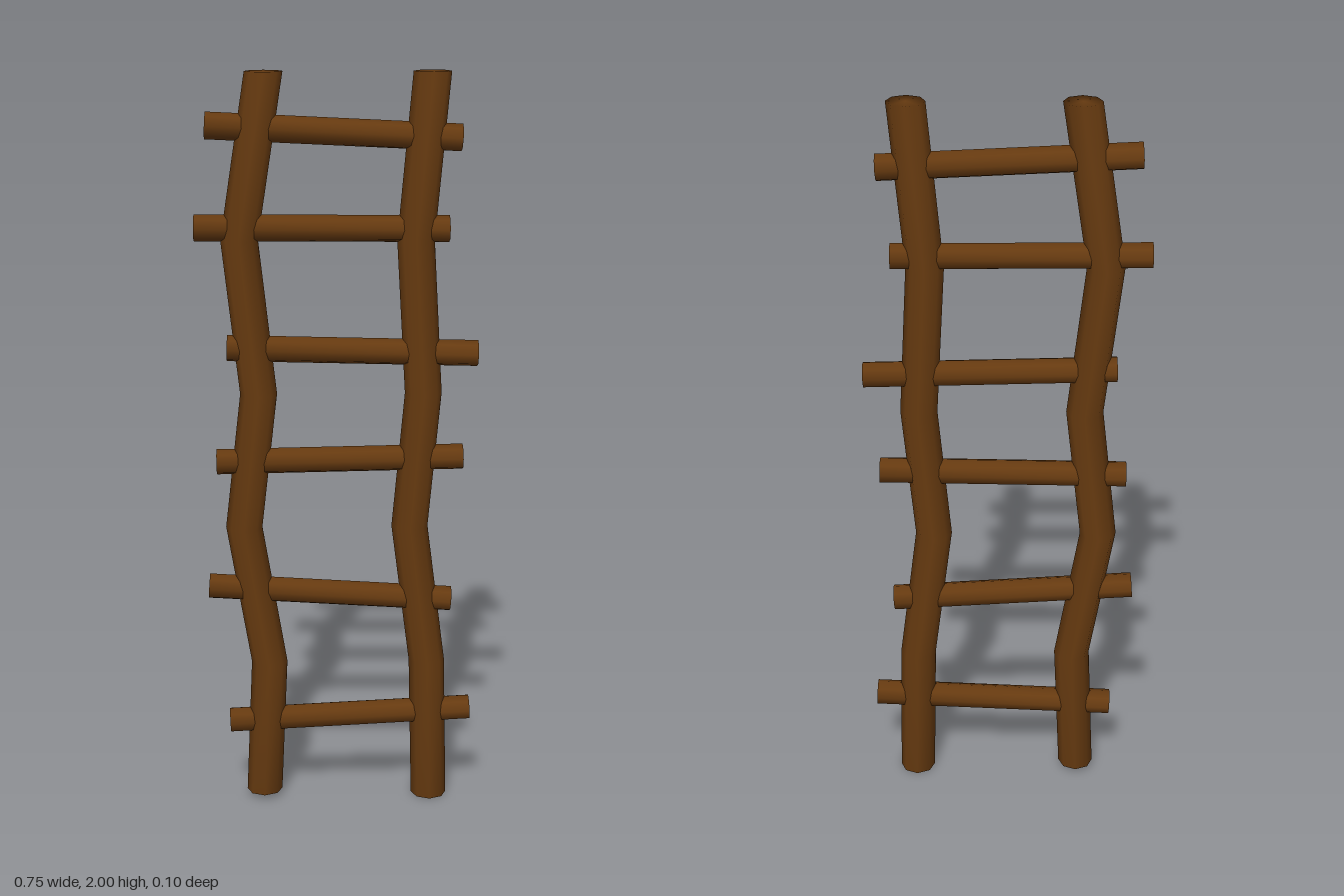
import * as THREE from 'three';
import { mergeVertices } from 'three/addons/utils/BufferGeometryUtils.js';

const SIDES = 8;

// Weld caps to the sides so the shading rolls softly over the ends
function soften(geometry) {
  geometry.deleteAttribute('normal');
  geometry.deleteAttribute('uv');
  const welded = mergeVertices(geometry, 1e-4);
  welded.computeVertexNormals();
  return welded;
}

// Upright pole whose rings are shifted sideways to follow [x, y] points
function poleGeometry(points, radius) {
  const n = points.length - 1;
  const geometry = new THREE.CylinderGeometry(radius, radius, n, SIDES, n);
  const pos = geometry.attributes.position;
  for (let i = 0; i < pos.count; i++) {
    const [x, y] = points[Math.round(pos.getY(i) + n / 2)];
    pos.setX(i, pos.getX(i) + x);
    pos.setY(i, y);
  }
  return soften(geometry);
}

export function createModel() {
  const group = new THREE.Group();
  group.name = 'ladder';
  const wood = new THREE.MeshStandardMaterial({ color: 0x663a10 });
  wood.name = 'brown wood';

  // Crooked side poles
  const poles = {
    rightPole: [[-0.207, 0.016], [-0.19, 0.4], [-0.255, 0.79], [-0.212, 1.16], [-0.258, 1.57], [-0.191, 2]],
    leftPole: [[0.254, 0], [0.244, 0.4], [0.193, 0.79], [0.226, 1.16], [0.202, 1.57], [0.24, 2]],
  };
  for (const [name, points] of Object.entries(poles)) {
    const pole = new THREE.Mesh(poleGeometry(points, 0.049), wood);
    pole.name = name;
    group.add(pole);
  }

  // Uneven rungs: start x, start y, end x, end y
  const rungs = [
    [-0.3, 0.225, 0.364, 0.257],
    [-0.352, 0.622, 0.307, 0.579],
    [-0.326, 0.973, 0.334, 0.984],
    [-0.294, 1.284, 0.369, 1.267],
    [-0.375, 1.602, 0.289, 1.598],
    [-0.342, 1.864, 0.318, 1.832],
  ];
  rungs.forEach(([x0, y0, x1, y1], i) => {
    const length = Math.hypot(x1 - x0, y1 - y0);
    const rung = new THREE.Mesh(soften(new THREE.CylinderGeometry(0.035, 0.035, length, SIDES)), wood);
    rung.name = `rung${i + 1}`;
    rung.position.set((x0 + x1) / 2, (y0 + y1) / 2, 0);
    rung.rotation.z = Math.atan2(y1 - y0, x1 - x0) - Math.PI / 2;
    group.add(rung);
  });

  return group;
}
